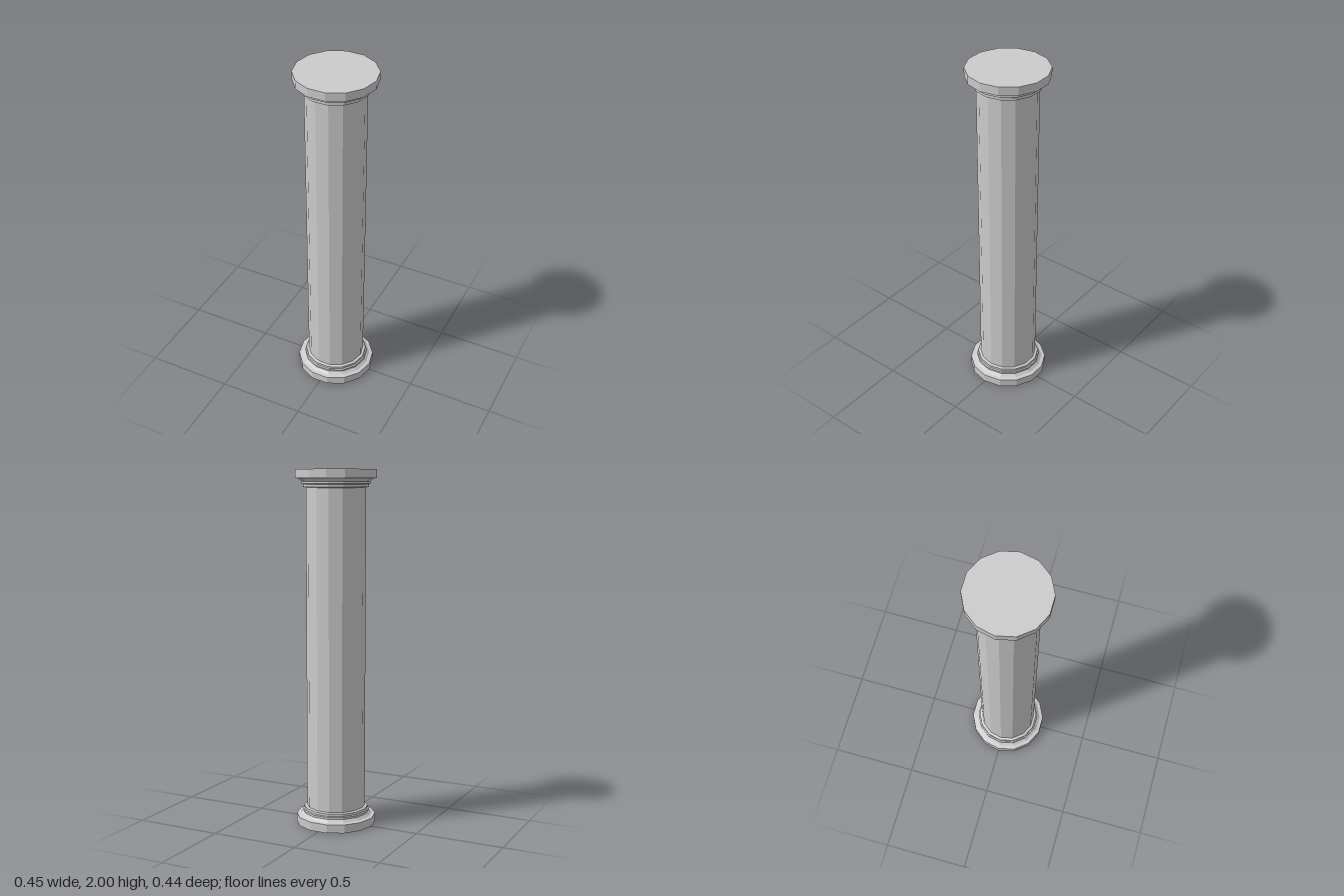
import * as THREE from 'three';

const SIDES = 14;
const HEIGHT = 2;

export function createModel() {
  const group = new THREE.Group();
  group.name = 'column';
  const material = new THREE.MeshStandardMaterial({ color: 0xcccccc, flatShading: true });

  // Turned part from [radius, y] points listed bottom to top, with a corner on the x axis
  const turned = (name, profile) => {
    const points = profile.map(([r, y]) => new THREE.Vector2(r, y));
    const mesh = new THREE.Mesh(new THREE.LatheGeometry(points, SIDES, Math.PI / 2), material);
    mesh.name = name;
    group.add(mesh);
  };

  // Round plinth, sloped moulding and two stepped rings
  const base = [
    [0, 0], [0.225, 0], [0.225, 0.048],
    [0.204, 0.052], [0.188, 0.067], [0.188, 0.078],
    [0.181, 0.082], [0.181, 0.096], [0.165, 0.1],
  ];
  // The capital is the base turned upside down
  const capital = base.map(([r, y]) => [r, HEIGHT - y]).reverse();

  turned('base', base);
  turned('shaft', [[0.165, 0.1], [0.165, HEIGHT - 0.1]]);
  turned('capital', capital);
  return group;
}
